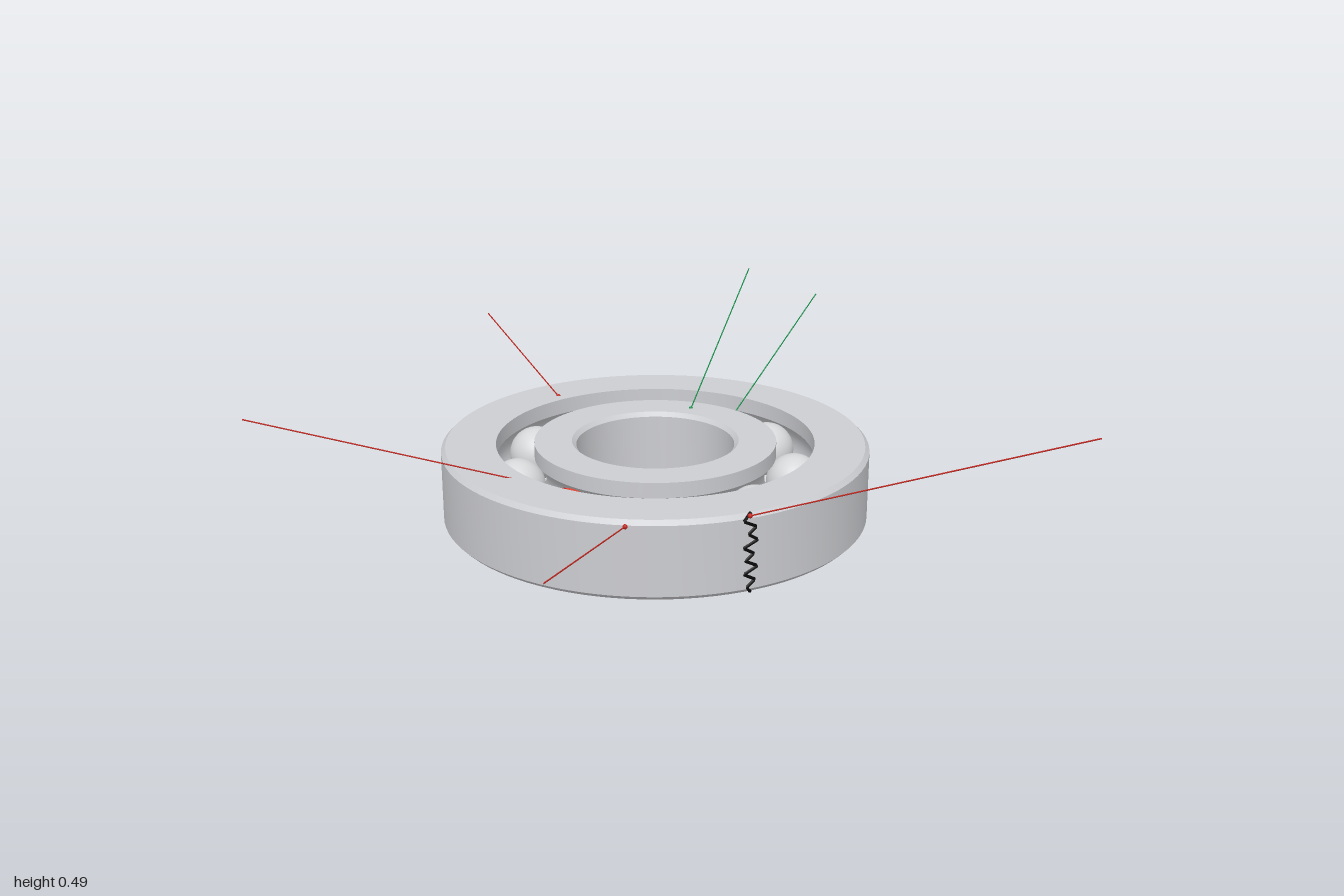
import * as THREE from 'three';
import { toCreasedNormals } from 'three/addons/utils/BufferGeometryUtils.js';

const mat = (name, color) => new THREE.MeshStandardMaterial({ name, color });

export function createModel() {
  const steel = mat('ring steel', 0xcccdd1);
  const ballSteel = mat('ball steel', 0xd6d7d9);
  const red = mat('damaged ball red', 0xe74c3c);
  const black = mat('crack black', 0x0a0a0a);
  const crimson = mat('pointer red', 0xc0241c);
  const green = mat('pointer green', 0x14904a);
  const debrisGrey = mat('debris grey', 0x555555);

  const model = new THREE.Group();
  model.name = 'ballBearing';
  const add = (parent, name, geometry, material, x = 0, y = 0, z = 0) => {
    const mesh = new THREE.Mesh(geometry, material);
    mesh.name = name;
    mesh.position.set(x, y, z);
    parent.add(mesh);
    return mesh;
  };

  // Bearing body, centred on its own axis at mid height
  const bearing = new THREE.Group();
  bearing.name = 'bearing';
  bearing.position.set(-0.033, 0.11, -0.118);
  model.add(bearing);

  const H = 0.1, C = 0.011, PITCH = 0.36, GROOVE = 0.077;

  // Ring section with chamfers on the plain side and a round race on the ball side
  const ring = (name, plainR, wallR) => {
    const s = Math.sign(plainR - wallR); // +1: outer ring, -1: inner ring
    const half = Math.acos(Math.abs(wallR - PITCH) / GROOVE);
    const pts = [
      [plainR - s * C, -H], [plainR, -H + C], [plainR, H - C], [plainR - s * C, H], [wallR, H],
    ];
    for (let i = 0; i <= 12; i++) {
      const a = half * (1 - i / 6);
      pts.push([PITCH + s * GROOVE * Math.cos(a), GROOVE * Math.sin(a)]);
    }
    pts.push([wallR, -H], [plainR - s * C, -H]);
    if (s < 0) pts.reverse();
    const lathe = new THREE.LatheGeometry(pts.map(p => new THREE.Vector2(...p)), 96);
    add(bearing, name, toCreasedNormals(lathe, 0.5), steel);
  };
  ring('outerRing', 0.55, 0.41);
  ring('innerRing', 0.204, 0.312);

  // Nine balls, one of them damaged
  const ballGeo = new THREE.SphereGeometry(0.072, 32, 24);
  for (let i = 0; i < 9; i++) {
    const a = i * Math.PI * 2 / 9;
    const bad = i === 3;
    add(bearing, bad ? 'damagedBall' : 'ball', ballGeo, bad ? red : ballSteel,
      PITCH * Math.cos(a), 0, PITCH * Math.sin(a));
  }

  // Jagged crack down the outer wall
  const swing = [0.2, -0.9, 0.8, -0.3, 1, -0.9, 0.5, -0.6, 1, -0.8, 0.7, -0.4, 0.3];
  const steps = swing.length - 1;
  const crackPts = swing.map((offset, i) => {
    const a = 0.537 + 0.036 * offset;
    const r = i === 0 || i === steps ? 0.542 : 0.55;
    return new THREE.Vector3(r * Math.sin(a), H - (2 * H * i) / steps, r * Math.cos(a));
  });
  const crackPath = new THREE.CurvePath();
  for (let i = 0; i < steps; i++) crackPath.add(new THREE.LineCurve3(crackPts[i], crackPts[i + 1]));
  add(bearing, 'crack', new THREE.TubeGeometry(crackPath, 96, 0.0042, 6), black);

  // Thin pointer lines with a dot at the marked spot
  const dotGeo = new THREE.SphereGeometry(0.006, 10, 8);
  const pointer = (from, to, material) => {
    const group = new THREE.Group();
    group.name = 'pointer';
    model.add(group);
    const path = new THREE.LineCurve3(new THREE.Vector3(...from), new THREE.Vector3(...to));
    add(group, 'pointerLine', new THREE.TubeGeometry(path, 1, 0.0017, 6), material);
    add(group, 'pointerDot', dotGeo, material, ...from);
  };
  pointer([-0.345, 0.208, -0.433], [-0.595, 0.37, -0.68], crimson);
  pointer([-0.215, 0.183, 0.196], [-1, 0.34, 0.225], crimson);
  pointer([-0.032, 0.196, 0.432], [-0.146, 0.225, 0.815], crimson);
  pointer([0.247, 0.206, 0.357], [1, 0.46, 0.445], crimson);
  pointer([0.029, 0.182, 0.237], [0.005, 0.155, 0.29], crimson);
  pointer([0.032, 0.208, -0.373], [0.152, 0.49, -0.825], green);
  pointer([0.147, 0.18, -0.433], [0.35, 0.43, -0.79], green);

  // Specks of debris fallen below the raceway
  const speckGeo = new THREE.IcosahedronGeometry(0.004, 0);
  for (const [x, z] of [[-0.12, 0.268], [-0.075, 0.235], [-0.035, 0.24], [-0.015, 0.275], [0.01, 0.205]]) {
    add(model, 'debris', speckGeo, debrisGrey, x, 0.004, z);
  }

  return model;
}
